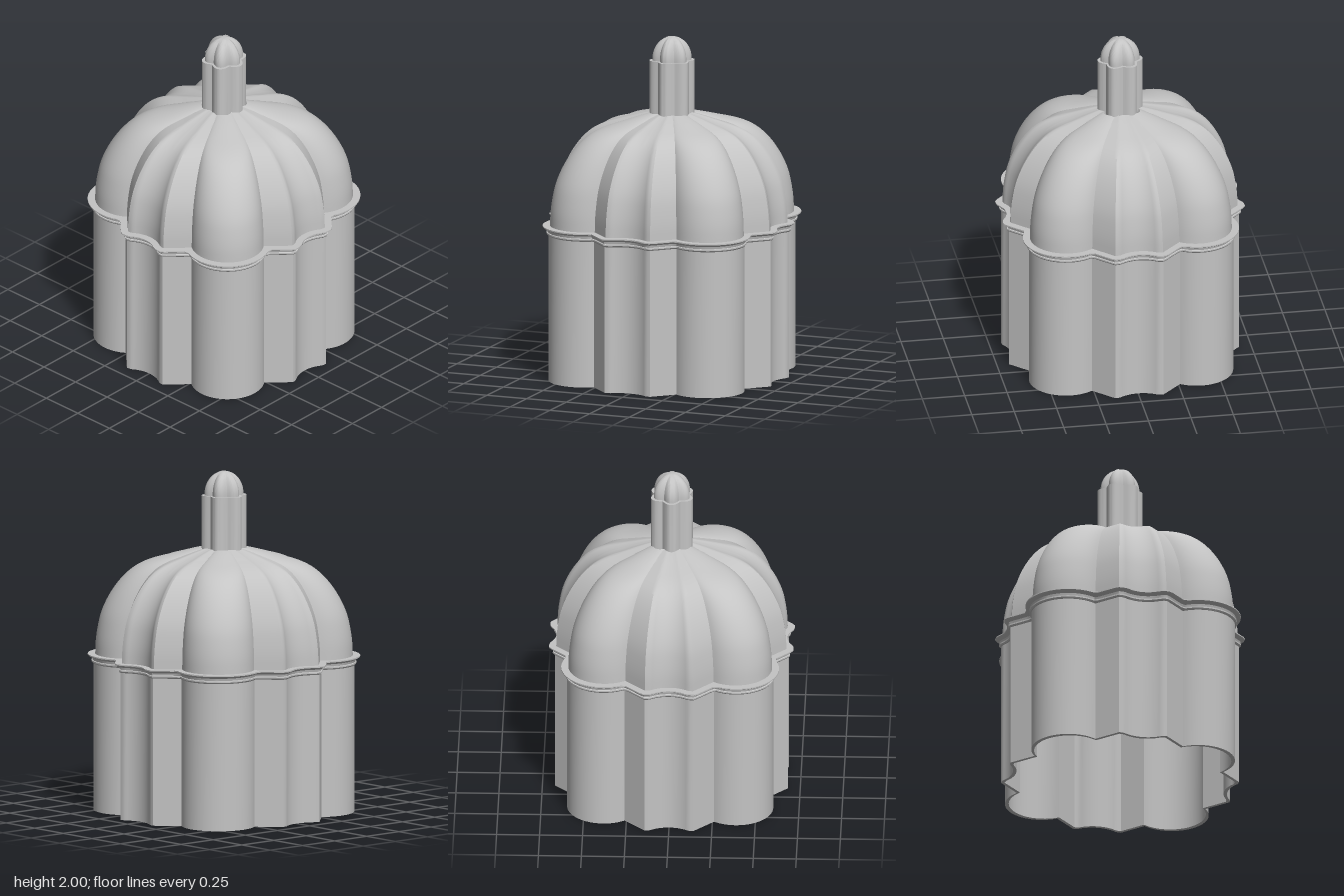
import * as THREE from 'three';
import { toCreasedNormals } from 'three/addons/utils/BufferGeometryUtils.js';

const stone = new THREE.MeshStandardMaterial({ color: 0xc4c4c4 });
stone.name = 'paleStone';

// Plan of one eighth: scalloped bay, straight flank, round corner lobe
function octant() {
  const pts = [];
  const R = 0.19, half = Math.asin(0.11 / R);
  for (let i = 0; i <= 8; i++) {
    const a = half * i / 8;
    pts.push([0.638 + R * (1 - Math.cos(a)), R * Math.sin(a)]);
  }
  pts.push([0.677, 0.125], [0.678, 0.142]);
  for (let i = 1; i <= 6; i++) {
    const t = i / 6;
    pts.push([0.678 - 0.118 * t, 0.142 + 0.118 * t]);
  }
  const start = Math.atan2(-0.125, 0.175), end = Math.PI / 4;
  for (let i = 1; i <= 14; i++) {
    const a = start + (end - start) * i / 14;
    pts.push([0.385 + 0.215 * Math.cos(a), 0.385 + 0.215 * Math.sin(a)]);
  }
  return pts;
}

// Mirror the eighth, then turn it four times
function fullPlan() {
  const oct = octant();
  const quarter = [...oct, ...oct.slice(1, -1).reverse().map(([x, z]) => [z, x])];
  const plan = [];
  for (let q = 0; q < 4; q++) {
    const c = Math.round(Math.cos(q * Math.PI / 2)), s = Math.round(Math.sin(q * Math.PI / 2));
    for (const [x, z] of quarter) plan.push([c * x - s * z, s * x + c * z]);
  }
  return plan;
}

// Six rounded flutes with ridges on the z axis
function flutedPlan(outer, inner) {
  const plan = [];
  for (let i = 0; i < 96; i++) {
    const a = i / 96 * Math.PI * 2;
    const ridge = Math.abs(Math.cos(3 * (a - Math.PI / 2)));
    const r = inner + (outer - inner) * Math.pow(ridge, 1.3);
    plan.push([r * Math.cos(a), r * Math.sin(a)]);
  }
  return plan;
}

// Move a plan outwards by d, with round joins at the points
function offsetPlan(plan, d) {
  if (d <= 0) return plan;
  const dense = [];
  plan.forEach(([x, z], i) => {
    const [u, v] = plan[(i + 1) % plan.length];
    for (let k = 0; k < 10; k++) dense.push([x + (u - x) * k / 10, z + (v - z) * k / 10]);
  });
  return plan.map(([x, z]) => {
    const len = Math.hypot(x, z), ux = x / len, uz = z / len;
    let r = len;
    for (const [px, pz] of dense) {
      const cross = px * uz - pz * ux, along = px * ux + pz * uz;
      if (Math.abs(cross) < d && along > 0) r = Math.max(r, along + Math.sqrt(d * d - cross * cross));
    }
    return [ux * r, uz * r];
  });
}

// Skin through rings of { y, s: scale, d: offset }
function loft(name, plan, rings, crease = 0.5) {
  const pos = [], idx = [], n = plan.length;
  rings.forEach(({ y, s = 1, d = 0 }, j) => {
    offsetPlan(plan, d).forEach(([x, z], k) => {
      pos.push(x * s, y, z * s);
      if (j === rings.length - 1) return;
      const a = j * n + k, b = j * n + (k + 1) % n;
      idx.push(a, a + n, b, b, a + n, b + n);
    });
  });
  const geo = new THREE.BufferGeometry();
  geo.setAttribute('position', new THREE.Float32BufferAttribute(pos, 3));
  geo.setIndex(idx);
  const mesh = new THREE.Mesh(toCreasedNormals(geo, crease), stone);
  mesh.name = name;
  return mesh;
}

export function createModel() {
  const group = new THREE.Group();
  group.name = 'ribbedPavilion';
  const plan = fullPlan();

  // Hollow wall, open at the foot
  group.add(loft('wall', plan, [
    { y: 0 }, { y: 0.915 }, { y: 0.915, s: 0.968 }, { y: 0, s: 0.968 }, { y: 0 },
  ]));

  // Moulded cornice with a thin projecting ledge
  group.add(loft('cornice', plan, [
    { y: 0.868, s: 0.99 }, { y: 0.868, d: 0.006 }, { y: 0.876, d: 0.012 }, { y: 0.884, d: 0.012 },
    { y: 0.886, d: 0.006 }, { y: 0.9, d: 0.01 }, { y: 0.908, d: 0.026 },
    { y: 0.914, d: 0.034 }, { y: 0.921, d: 0.034 }, { y: 0.921, s: 0.968 },
  ]));

  // Ribbed dome shell: the plan shrinks along a curved profile
  const profile = new THREE.CatmullRomCurve3([
    [1, 0.915], [0.995, 1.0], [0.98, 1.08], [0.955, 1.16], [0.91, 1.24], [0.845, 1.32], [0.765, 1.39],
    [0.68, 1.44], [0.58, 1.475], [0.42, 1.508], [0.28, 1.535], [0.18, 1.552],
  ].map(([s, y]) => new THREE.Vector3(s, y, 0))).getPoints(36);
  const outer = profile.map(p => ({ y: p.y, s: p.x * 0.988 }));
  const inner = profile.map(p => ({ y: Math.max(0.915, p.y - 0.025), s: p.x * 0.96 })).reverse();
  group.add(loft('dome', plan, [...outer, { y: 1.525, s: 0.15 }, ...inner, outer[0]]));

  // Fluted lantern column on the dome
  group.add(loft('lantern', flutedPlan(0.133, 0.104), [
    { y: 1.5, s: 0 }, { y: 1.5 }, { y: 1.86 }, { y: 1.86, s: 0 },
  ]));

  // Ribbed finial cap
  const cap = [{ y: 1.85 }];
  for (let i = 0; i <= 16; i++) {
    const a = i / 16 * Math.PI / 2;
    cap.push({ y: 1.87 + 0.13 * Math.sin(a), s: i === 16 ? 0 : Math.cos(a) });
  }
  group.add(loft('finial', flutedPlan(0.115, 0.088), cap, 0.7));

  return group;
}
